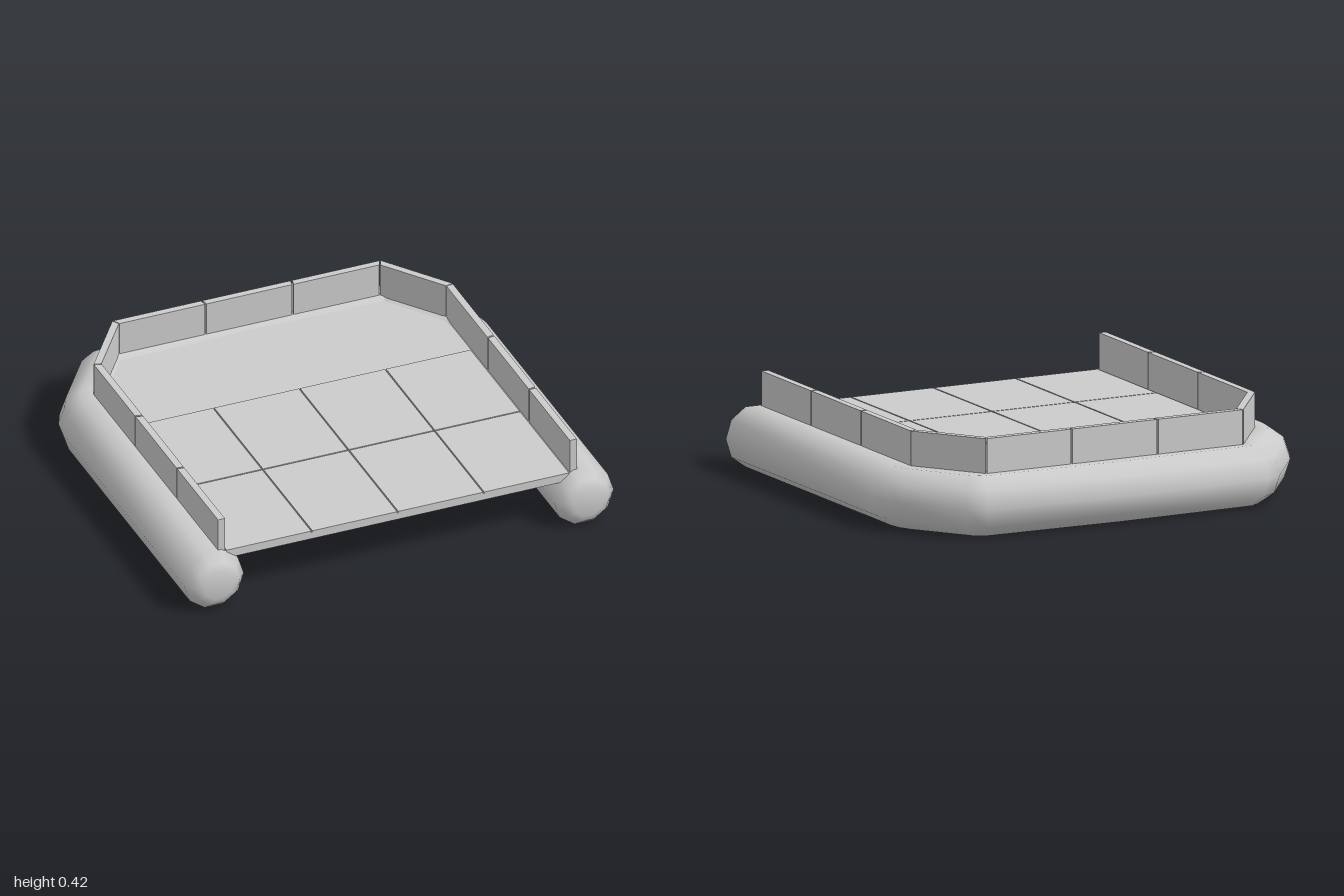
import * as THREE from 'three';

const mat = new THREE.MeshStandardMaterial({ color: 0xcccccc, side: THREE.DoubleSide });

// Upright prism from a plan outline of [x, z] points
function prism(name, pts, y0, y1) {
  const shape = new THREE.Shape(pts.map(([x, z]) => new THREE.Vector2(x, -z)));
  const geo = new THREE.ExtrudeGeometry(shape, { depth: y1 - y0, bevelEnabled: false });
  geo.rotateX(-Math.PI / 2).translate(0, y0, 0);
  const mesh = new THREE.Mesh(geo, mat);
  mesh.name = name;
  return mesh;
}

// Mirror an open half outline in x to make the whole outline
const mirrored = (half) => [...half, ...half.slice().reverse().filter(p => p[0] > 0).map(([x, z]) => [-x, z])];

// U-shaped float: ten-sided rings swept along a plan path, with rounded ends
function floatTube() {
  const R = 0.139, Y = 0.132, N = 10;
  // x, z, radius of each ring
  const half = [
    [0.861, 0.937, 0.07], [0.861, 0.92, 0.105], [0.861, 0.88, R],
    [0.861, -0.44, R], [0.853, -0.49, R], [0.83, -0.535, R],
    [0.665, -0.765, R], [0.635, -0.787, R], [0, -0.801, R],
  ];
  const path = [...half, ...half.slice(0, -1).reverse().map(([x, z, r]) => [-x, z, r])];
  const pos = [], idx = [];
  path.forEach(([x, z, r], i) => {
    const a = path[Math.max(i - 1, 0)], b = path[Math.min(i + 1, path.length - 1)];
    // bisecting outward normal in plan
    const unit = (p, q) => new THREE.Vector2(q[0] - p[0], q[1] - p[1]).normalize();
    const t = unit(a, path[i]).add(unit(path[i], b)).normalize();
    const nx = -t.y, nz = t.x;
    for (let k = 0; k < N; k++) {
      const ang = k / N * Math.PI * 2, c = r * Math.cos(ang), s = r * Math.sin(ang);
      pos.push(x + nx * c, Y + s, z + nz * c);
    }
  });
  for (let i = 0; i < path.length - 1; i++) {
    for (let k = 0; k < N; k++) {
      const a = i * N + k, b = i * N + (k + 1) % N;
      idx.push(a, b, a + N, b, b + N, a + N);
    }
  }
  // end caps
  const last = (path.length - 1) * N, c0 = pos.length / 3;
  pos.push(0.861, Y, 0.938, -0.861, Y, 0.938);
  for (let k = 0; k < N; k++) {
    const n = (k + 1) % N;
    idx.push(c0, n, k, c0 + 1, last + k, last + n);
  }
  const geo = new THREE.BufferGeometry();
  geo.setAttribute('position', new THREE.Float32BufferAttribute(pos, 3));
  // make the triangles face outwards
  const v = (i) => new THREE.Vector3().fromArray(pos, idx[i] * 3);
  const probe = 2 * N * 6; // first face of the long side, on its outer edge
  const face = new THREE.Triangle(v(probe), v(probe + 1), v(probe + 2)).getNormal(new THREE.Vector3());
  const out = v(probe).sub(new THREE.Vector3(0.861, Y, 0.88));
  if (face.dot(out) < 0) idx.reverse();
  geo.setIndex(idx);
  geo.computeVertexNormals();
  const mesh = new THREE.Mesh(geo, mat);
  mesh.name = 'floatTube';
  return mesh;
}

export function createModel() {
  const model = new THREE.Group();
  model.name = 'raft';
  model.add(floatTube());

  // Outer and inner plan lines of the wall
  const outer = mirrored([[0.835, 0.868], [0.835, -0.5], [0.624, -0.79]]);
  const inner = mirrored([[0.803, 0.868], [0.803, -0.49], [0.608, -0.758]]);

  // Floor slab
  const floor = mirrored([[0.803, 0.868], [0.82, -0.495], [0.616, -0.775]]);
  model.add(prism('floorSlab', floor, 0.218, 0.25));

  // Deck tiles, two rows of four
  const tiles = new THREE.Group();
  tiles.name = 'deckTiles';
  const g = 0.003;
  for (const [z0, z1] of [[-0.213, 0.329], [0.329, 0.871]]) {
    for (let i = 0; i < 4; i++) {
      const x0 = -0.8 + i * 0.4 + g, x1 = x0 + 0.4 - 2 * g;
      tiles.add(prism('deckTile', [[x0, z0 + g], [x1, z0 + g], [x1, z1 - g], [x0, z1 - g]], 0.25, 0.257));
    }
  }
  model.add(tiles);

  // Wall panels: three per straight run, one per slanted corner
  const walls = new THREE.Group();
  walls.name = 'walls';
  const mix = (p, q, t) => [p[0] + (q[0] - p[0]) * t, p[1] + (q[1] - p[1]) * t];
  [3, 1, 3, 1, 3].forEach((count, i) => {
    for (let k = 0; k < count; k++) {
      const t0 = k / count + 0.003, t1 = (k + 1) / count - 0.003;
      walls.add(prism('wallPanel', [
        mix(outer[i], outer[i + 1], t0), mix(outer[i], outer[i + 1], t1),
        mix(inner[i], inner[i + 1], t1), mix(inner[i], inner[i + 1], t0),
      ], 0.24, 0.417));
    }
  });
  model.add(walls);
  return model;
}
